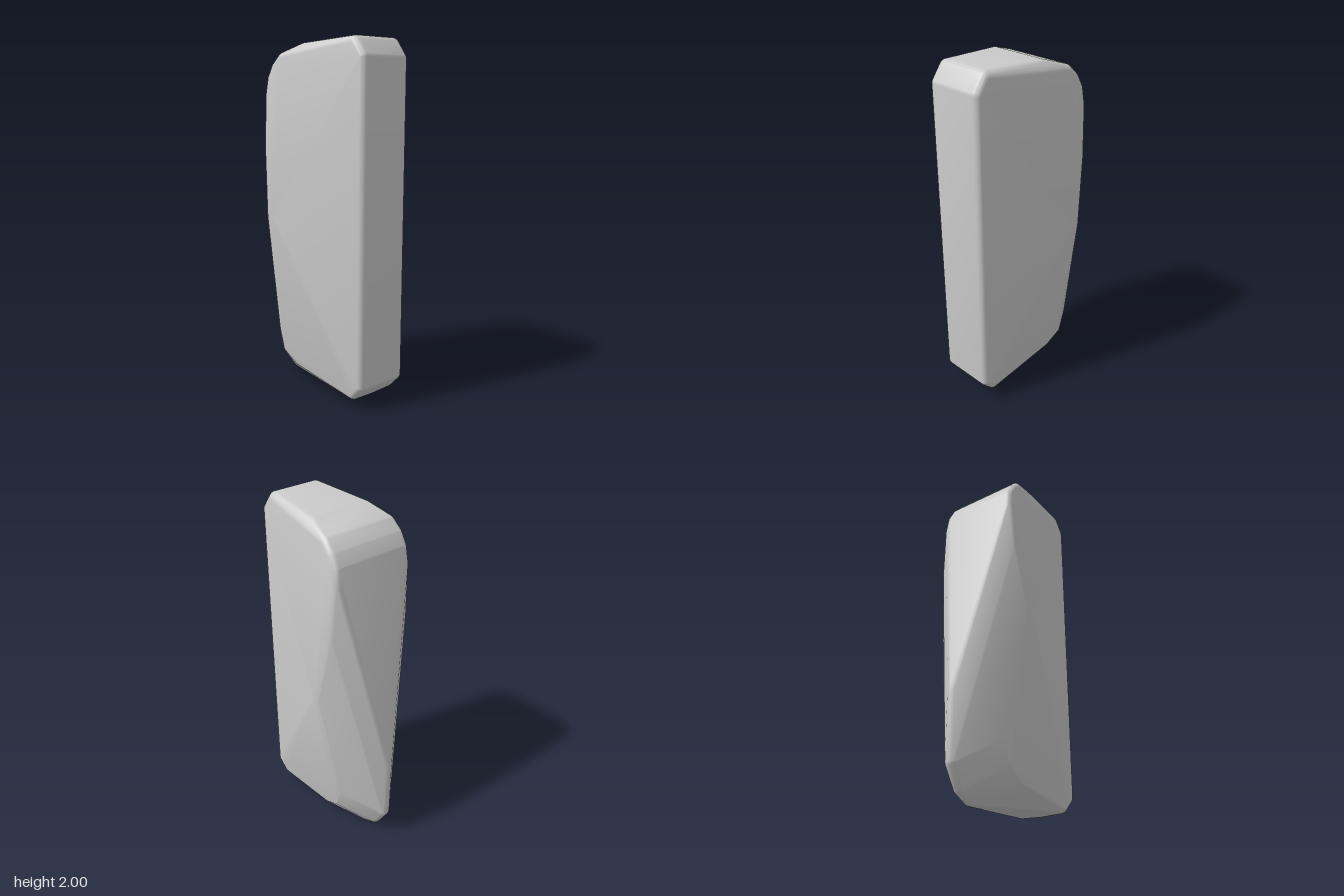
import * as THREE from 'three';
import { ConvexGeometry } from 'three/addons/geometries/ConvexGeometry.js';
import { toCreasedNormals } from 'three/addons/utils/BufferGeometryUtils.js';

// Corner balls of the right half: [x, y, z, rounding radius]
const corners = [
  // front face
  [0.135, 1.89, 0.415, 0.035],
  [0.135, 0.14, 0.415, 0.035],
  // chamfers above and below the front face
  [0.13, 1.96, 0.36, 0.04],
  [0.13, 0.08, 0.36, 0.035],
  // top, bending over into the back
  [0.165, 1.94, 0, 0.04],
  [0.2, 1.9, -0.14, 0.035],
  [0.208, 1.85, -0.19, 0.035],
  [0.212, 1.79, -0.222, 0.035],
  [0.218, 1.7, -0.235, 0.035],
  // side edge with its widest point
  [0.235, 1.4, -0.225, 0.035],
  [0.285, 1.02, -0.17, 0.02],
  [0.285, 1.02, -0.14, 0.02],
  [0.17, 0.32, -0.22, 0.02],
  [0.16, 0.2, -0.18, 0.03],
  [0.15, 0.14, -0.08, 0.03],
  // middle ridge under the bottom and up the back
  [0, 0.07, 0.36, 0.03],
  [0, 0.04, -0.2, 0.04],
  [0, 0.035, -0.27, 0.035],
  [0, 0.08, -0.34, 0.04],
  [0, 0.19, -0.405, 0.04],
  [0, 0.56, -0.405, 0.04],
];

// Points of a unit ball, each kept once
function ballPoints(rings, segments) {
  const points = [new THREE.Vector3(0, 1, 0), new THREE.Vector3(0, -1, 0)];
  for (let i = 1; i < rings; i++) {
    for (let j = 0; j < segments; j++) {
      points.push(new THREE.Vector3().setFromSphericalCoords(1, (Math.PI * i) / rings, (2 * Math.PI * j) / segments));
    }
  }
  return points;
}

export function createModel() {
  const group = new THREE.Group();
  group.name = 'roundedBlock';

  // Stretch a skin around the balls of both halves
  const ball = ballPoints(12, 20);
  const cloud = [];
  for (const [x, y, z, r] of corners) {
    for (const side of x > 0 ? [1, -1] : [1]) {
      const centre = new THREE.Vector3(x * side, y, z);
      for (const p of ball) cloud.push(p.clone().multiplyScalar(r).add(centre));
    }
  }

  const body = new THREE.Mesh(
    toCreasedNormals(new ConvexGeometry(cloud), 0.5),
    new THREE.MeshStandardMaterial({ color: 0xcccccc })
  );
  body.name = 'body';
  group.add(body);
  return group;
}
